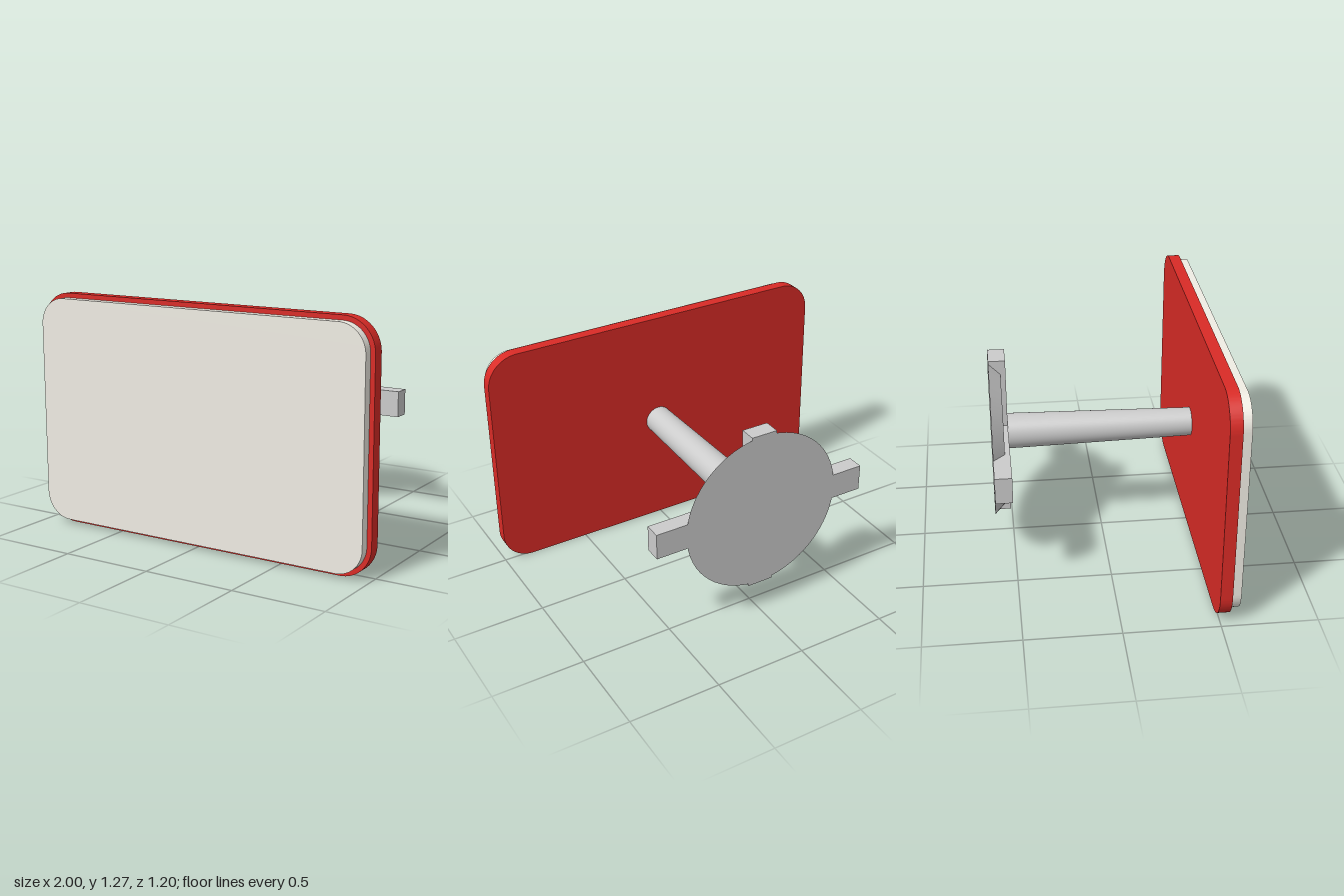
import * as THREE from 'three';
import { toCreasedNormals } from 'three/addons/utils/BufferGeometryUtils.js';

const CENTER_Y = 0.635;
const paint = (color) => new THREE.MeshStandardMaterial({ color });

function addPart(group, name, geometry, material, z = 0) {
  const mesh = new THREE.Mesh(geometry, material);
  mesh.name = name;
  mesh.position.set(0, CENTER_Y, z);
  group.add(mesh);
}

// Rounded rectangle slab, its back face at z = 0
function slab(w, h, r, depth) {
  const x = w / 2, y = h / 2;
  const shape = new THREE.Shape();
  shape.absarc(x - r, y - r, r, 0, Math.PI / 2);
  shape.absarc(-x + r, y - r, r, Math.PI / 2, Math.PI);
  shape.absarc(-x + r, -y + r, r, Math.PI, Math.PI * 1.5);
  shape.absarc(x - r, -y + r, r, Math.PI * 1.5, Math.PI * 2);
  const geometry = new THREE.ExtrudeGeometry(shape, { depth, bevelEnabled: false, curveSegments: 16 });
  return toCreasedNormals(geometry, 0.6);
}

// Cylinder along z: first radius faces the front
function round(frontR, backR, depth) {
  return new THREE.CylinderGeometry(frontR, backR, depth, 64).rotateX(Math.PI / 2);
}

// Four-armed cross, its back face at z = 0
function cross(halfX, halfY, halfBar, depth) {
  const b = halfBar;
  const outline = [
    [halfX, -b], [halfX, b], [b, b], [b, halfY], [-b, halfY], [-b, b],
    [-halfX, b], [-halfX, -b], [-b, -b], [-b, -halfY], [b, -halfY], [b, -b],
  ].map(([x, y]) => new THREE.Vector2(x, y));
  return new THREE.ExtrudeGeometry(new THREE.Shape(outline), { depth, bevelEnabled: false });
}

export function createModel() {
  const group = new THREE.Group();
  group.name = 'signPlateWithMount';
  const grey = paint(0xcccccc);

  // Face panel on its slightly larger backing plate
  addPart(group, 'backingPlate', slab(2, 1.27, 0.17, 0.063), paint(0xd92b26), 0.488);
  addPart(group, 'facePanel', slab(1.95, 1.22, 0.145, 0.049), paint(0xf0ede4), 0.551);

  // Tapered stem from the plate back to the mount
  addPart(group, 'stem', round(0.077, 0.096, 1), grey, -0.011);

  // Bevelled mounting disc with a raised cross whose side arms overhang
  addPart(group, 'mountDisc', round(0.385, 0.447, 0.062), grey, -0.569);
  addPart(group, 'mountCross', cross(0.616, 0.455, 0.072, 0.089), grey, -0.6);

  return group;
}
